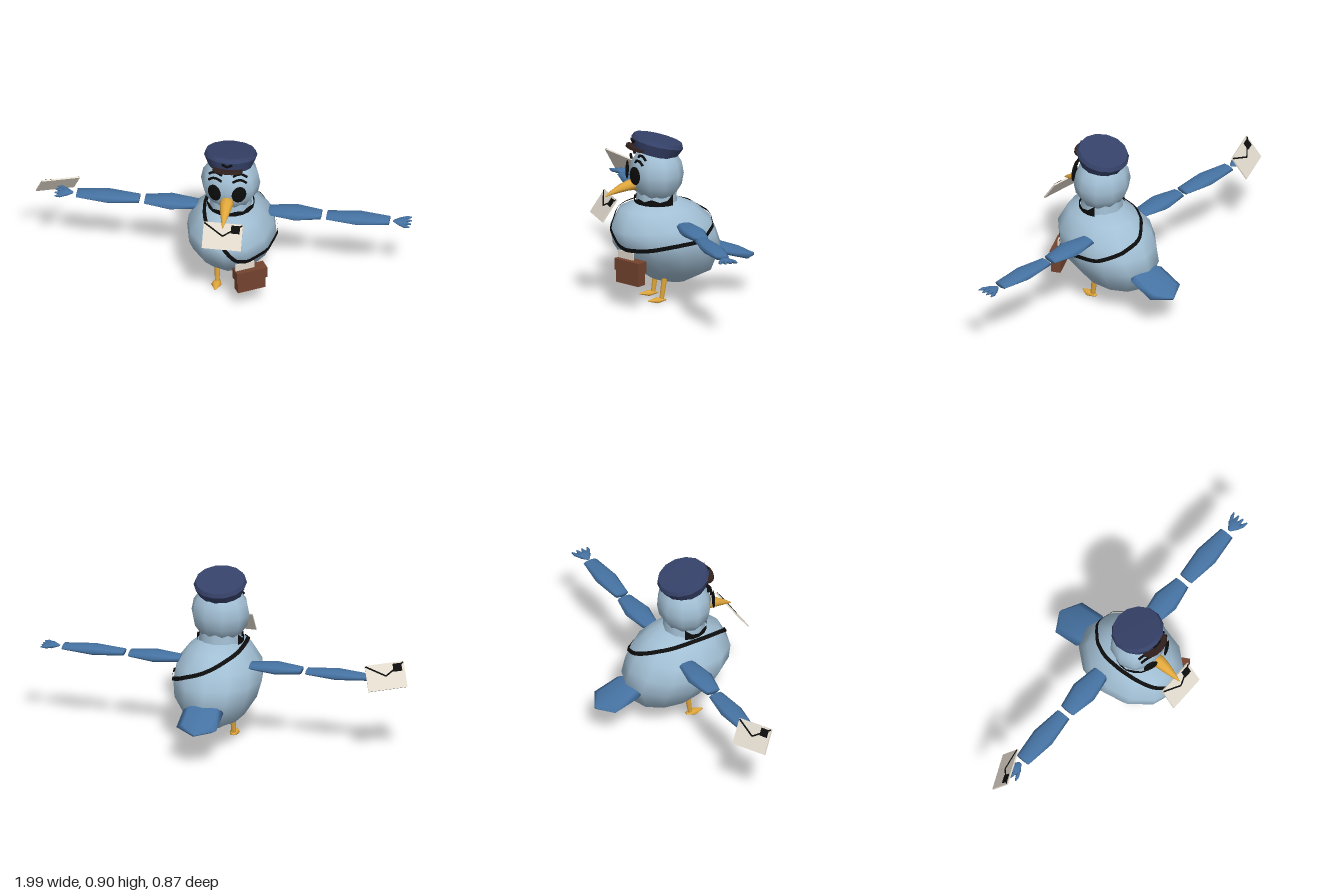
import * as THREE from 'three';
import { toCreasedNormals } from 'three/addons/utils/BufferGeometryUtils.js';

const mat = (name, color, side = THREE.FrontSide) =>
  Object.assign(new THREE.MeshStandardMaterial({ color, side }), { name });
const V = (x, y, z) => new THREE.Vector3(x, y, z);

// Skin over elliptical rings { c: centre, u, v: half axes }, with closed ends; u x v points along the skin
function loft(rings, n) {
  const pos = [], idx = [];
  for (const { c, u, v } of rings)
    for (let j = 0; j < n; j++) {
      const a = (j / n) * Math.PI * 2;
      pos.push(...c.clone().addScaledVector(u, Math.cos(a)).addScaledVector(v, Math.sin(a)).toArray());
    }
  const first = rings[0].c, last = rings[rings.length - 1].c;
  const s = rings.length * n, top = (rings.length - 1) * n;
  pos.push(...first.toArray(), ...last.toArray());
  for (let j = 0; j < n; j++) {
    const k = (j + 1) % n;
    for (let i = 0; i < top; i += n) idx.push(i + j, i + k, i + n + j, i + k, i + n + k, i + n + j);
    idx.push(s, k, j, s + 1, top + j, top + k);
  }
  const g = new THREE.BufferGeometry();
  g.setAttribute('position', new THREE.Float32BufferAttribute(pos, 3));
  g.setIndex(idx);
  g.computeVertexNormals();
  return g;
}
// Rings along x, z and -z: [position along axis, y, half width, half height, side offset]
const alongX = (rows, n) => loft(rows.map(([x, y, rz, ry, z = 0]) => ({ c: V(x, y, z), u: V(0, ry, 0), v: V(0, 0, rz) })), n);
const alongZ = (rows, n, dir = 1) => loft(rows.map(([z, y, rx, ry]) => ({ c: V(0, y, z), u: V(rx, 0, 0), v: V(0, ry * dir, 0) })), n);

export function createModel() {
  const skin = mat('pale blue', 0xa2bfd4), wingBlue = mat('wing blue', 0x4673a3), navy = mat('navy', 0x36426a);
  const black = mat('black', 0x0c0c0c), blackThin = mat('black cloth', 0x0c0c0c, THREE.DoubleSide);
  const yellow = mat('beak yellow', 0xe2a83c), paper = mat('paper', 0xe4dccf);
  const brown = mat('bag brown', 0x74432f), darkBrown = mat('visor brown', 0x33221e);

  const model = new THREE.Group();
  model.name = 'postBird';
  const bird = new THREE.Group();
  bird.name = 'bird';
  bird.position.x = 0.05;
  model.add(bird);
  const add = (parent, name, geo, material, x = 0, y = 0, z = 0) => {
    const m = new THREE.Mesh(geo, material);
    m.name = name;
    m.position.set(x, y, z);
    parent.add(m);
    return m;
  };

  // Body: [front z, front y, back z, back y, half width] from the bottom up
  const body = add(bird, 'body', loft([
    [0.13, 0.12, -0.05, 0.09, 0.06], [0.21, 0.175, -0.2, 0.155, 0.155], [0.29, 0.25, -0.25, 0.285, 0.22],
    [0.34, 0.33, -0.225, 0.36, 0.236], [0.352, 0.4, -0.19, 0.44, 0.225],
    [0.3, 0.505, -0.11, 0.51, 0.16], [0.2, 0.54, -0.03, 0.545, 0.09],
  ].map(([fz, fy, bz, by, rx]) => ({
    c: V(0, (fy + by) / 2, (fz + bz) / 2), u: V(0, (fy - by) / 2, (fz - bz) / 2), v: V(rx, 0, 0),
  })), 12), skin);
  add(bird, 'neck', new THREE.CylinderGeometry(0.105, 0.115, 0.1, 10), skin, 0, 0.56, 0.1);
  const head = add(bird, 'head', new THREE.SphereGeometry(0.157, 10, 8), skin, 0, 0.69, 0.1);
  head.scale.z = 0.9;
  add(bird, 'tail', alongZ([
    [-0.2, 0.263, 0.085, 0.015], [-0.235, 0.258, 0.108, 0.03], [-0.375, 0.213, 0.108, 0.022], [-0.434, 0.2, 0.008, 0.007],
  ], 8, -1), wingBlue);
  add(bird, 'beak', alongZ([
    [0.2, 0.638, 0.036, 0.034], [0.25, 0.634, 0.035, 0.03], [0.3, 0.62, 0.026, 0.024],
    [0.35, 0.599, 0.013, 0.012], [0.382, 0.582, 0.003, 0.003],
  ], 8), yellow);

  // Eyes, brows, legs and wings, once per side
  for (const s of [-1, 1]) {
    const side = s > 0 ? 'left' : 'right';
    const eye = add(bird, side + 'Eye', new THREE.SphereGeometry(1, 14, 10), black, s * 0.065, 0.7, 0.24);
    eye.scale.set(0.04, 0.049, 0.008);
    eye.rotation.y = s * 0.42;
    for (const [y, z] of [[0.796, 0.208], [0.77, 0.225]]) {
      const curve = new THREE.CatmullRomCurve3([
        V(s * 0.03, y - 0.006, z), V(s * 0.05, y + 0.008, z), V(s * 0.075, y + 0.008, z - 0.008), V(s * 0.1, y - 0.012, z - 0.018),
      ]);
      add(bird, side + 'Brow', new THREE.TubeGeometry(curve, 8, 0.007, 5), black);
    }

    const leg = add(bird, side + 'Leg', new THREE.CylinderGeometry(0.016, 0.012, 0.12, 8), yellow, s * 0.072, 0.073, 0.088);
    leg.rotation.x = -0.14;
    const foot = add(bird, side + 'Foot', alongZ([
      [0.073, 0.016, 0.012, 0.004], [0.12, 0.015, 0.028, 0.015], [0.17, 0.015, 0.004, 0.003],
    ], 6), yellow);
    foot.position.x = s * 0.072;

    const wing = new THREE.Group();
    wing.name = side + 'Wing';
    wing.position.set(0, 0.445, 0.008);
    if (s < 0) wing.rotation.y = Math.PI;
    bird.add(wing);
    add(wing, 'upperWing', alongX([[0.19, 0, 0.045, 0.016], [0.33, 0, 0.069, 0.026], [0.465, 0, 0.042, 0.015]], 8), wingBlue);
    add(wing, 'lowerWing', alongX([[0.495, 0, 0.04, 0.014], [0.66, 0, 0.06, 0.024], [0.825, 0, 0.04, 0.013]], 8), wingBlue);
    add(wing, 'palm', alongX([[0.845, 0, 0.008, 0.003], [0.882, 0, 0.036, 0.015], [0.91, 0, 0.034, 0.008]], 8), wingBlue);
    for (const f of [-1.5, -0.5, 0.5, 1.5])
      add(wing, 'featherTip', alongX([
        [0.875, 0, 0.007, 0.007, f * 0.015], [0.91, 0, 0.012, 0.011, f * 0.024], [0.942 - Math.abs(f) * 0.003, 0, 0.004, 0.003, f * 0.03],
      ], 6), wingBlue);
  }

  // Cap
  const cap = new THREE.Group();
  cap.name = 'cap';
  cap.position.set(0, 0.835, 0.1);
  cap.rotation.x = -0.25;
  bird.add(cap);
  const crown = [[0, -0.04], [0.115, -0.04], [0.14, 0.018], [0.13, 0.04], [0, 0.046]].map(p => new THREE.Vector2(...p));
  add(cap, 'crown', toCreasedNormals(new THREE.LatheGeometry(crown, 14), 0.6), navy);
  add(cap, 'visor', new THREE.CylinderGeometry(0.08, 0.08, 0.014, 16), darkBrown, 0, -0.03, 0.11).scale.z = 0.62;
  for (const s of [-1, 1]) {
    const bar = add(cap, 'badgeWing', new THREE.BoxGeometry(0.03, 0.011, 0.008), black, s * 0.013, 0.003, 0.135);
    bar.rotation.set(0.4, 0, s * 0.5);
  }

  // Strip between two rows of points
  const strip = rows => {
    const pos = [], idx = [];
    rows.forEach(([a, b], i) => {
      pos.push(...a.toArray(), ...b.toArray());
      if (i) idx.push(2 * i - 2, 2 * i, 2 * i - 1, 2 * i, 2 * i + 1, 2 * i - 1);
    });
    const g = new THREE.BufferGeometry();
    g.setAttribute('position', new THREE.Float32BufferAttribute(pos, 3));
    g.setIndex(idx);
    g.computeVertexNormals();
    return g;
  };

  // Collar with pointed upper edge
  const edge = [[-118, 0.596], [-100, 0.565], [-80, 0.558], [-58, 0.572], [-40, 0.556], [-20, 0.565], [0, 0.55],
    [20, 0.565], [40, 0.556], [58, 0.572], [80, 0.558], [100, 0.565], [118, 0.596]];
  add(bird, 'collar', strip(edge.map(([deg, y]) => {
    const a = deg * Math.PI / 180, x = Math.sin(a) * 0.124, z = 0.1 + Math.cos(a) * 0.118;
    return [V(x, 0.535, z), V(x, y, z)];
  })), blackThin);

  // Shoulder strap, laid onto the body
  const path = new THREE.CatmullRomCurve3([
    [-0.14, 0.535, 0.05], [-0.13, 0.53, 0.2], [-0.08, 0.49, 0.31], [-0.01, 0.435, 0.355], [0.07, 0.33, 0.345],
    [0.15, 0.315, 0.29], [0.22, 0.33, 0.18], [0.245, 0.35, 0.06], [0.235, 0.36, -0.07], [0.19, 0.385, -0.14],
    [0.11, 0.425, -0.195], [0.01, 0.46, -0.195], [-0.08, 0.505, -0.13], [-0.13, 0.53, -0.04],
  ].map(p => V(...p)), true);
  const core = V(0, 0.33, 0.05), ray = new THREE.Raycaster(), rows = [];
  for (let i = 0; i <= 64; i++) {
    const t = (i % 64) / 64, dir = path.getPoint(t).sub(core).normalize();
    ray.set(core.clone().addScaledVector(dir, 2), dir.clone().negate());
    body.position.set(0, 0, 0);
    const hit = ray.intersectObject(body)[0];
    const p = core.clone().addScaledVector(dir, (hit ? 2 - hit.distance : 0.25) + 0.009);
    const across = path.getTangent(t).cross(dir).normalize().multiplyScalar(0.011);
    rows.push([p.clone().add(across), p.clone().sub(across)]);
  }
  add(bird, 'strap', strip(rows), blackThin);

  // Satchel with a letter sticking out
  const bag = new THREE.Group();
  bag.name = 'satchel';
  bag.position.set(0.18, 0.2, 0.285);
  bag.rotation.y = 0.53;
  model.add(bag);
  add(bag, 'pouch', new THREE.BoxGeometry(0.155, 0.09, 0.052), brown, 0, -0.017, 0);
  add(bag, 'flap', new THREE.BoxGeometry(0.17, 0.062, 0.064), brown, 0, 0.035, 0);
  add(bag, 'bagLetter', new THREE.BoxGeometry(0.105, 0.08, 0.008), paper, -0.03, 0.065, 0);

  // Envelopes
  const envelope = name => {
    const g = new THREE.Group();
    g.name = name;
    add(g, 'sheet', new THREE.BoxGeometry(0.207, 0.14, 0.008), paper);
    for (const s of [-1, 1])
      add(g, 'flapLine', new THREE.BoxGeometry(0.118, 0.008, 0.003), black, s * 0.05, 0.033, 0.005).rotation.z = s * 0.56;
    add(g, 'stamp', new THREE.BoxGeometry(0.046, 0.042, 0.004), black, 0.066, 0.04, 0.006);
    model.add(g);
    return g;
  };
  const beakLetter = envelope('beakEnvelope');
  beakLetter.position.set(0.05, 0.532, 0.39);
  beakLetter.rotation.x = -0.6;

  const wingLetter = envelope('wingEnvelope');
  const right = V(-0.203, 0.018, 0.093).normalize(), up = V(0.04, 0.112, 0.065).normalize();
  const out = right.clone().cross(up).normalize();
  wingLetter.quaternion.setFromRotationMatrix(new THREE.Matrix4().makeBasis(right, out.clone().cross(right), out));
  wingLetter.position.set(-0.88, 0.471, -0.02);

  return model;
}
